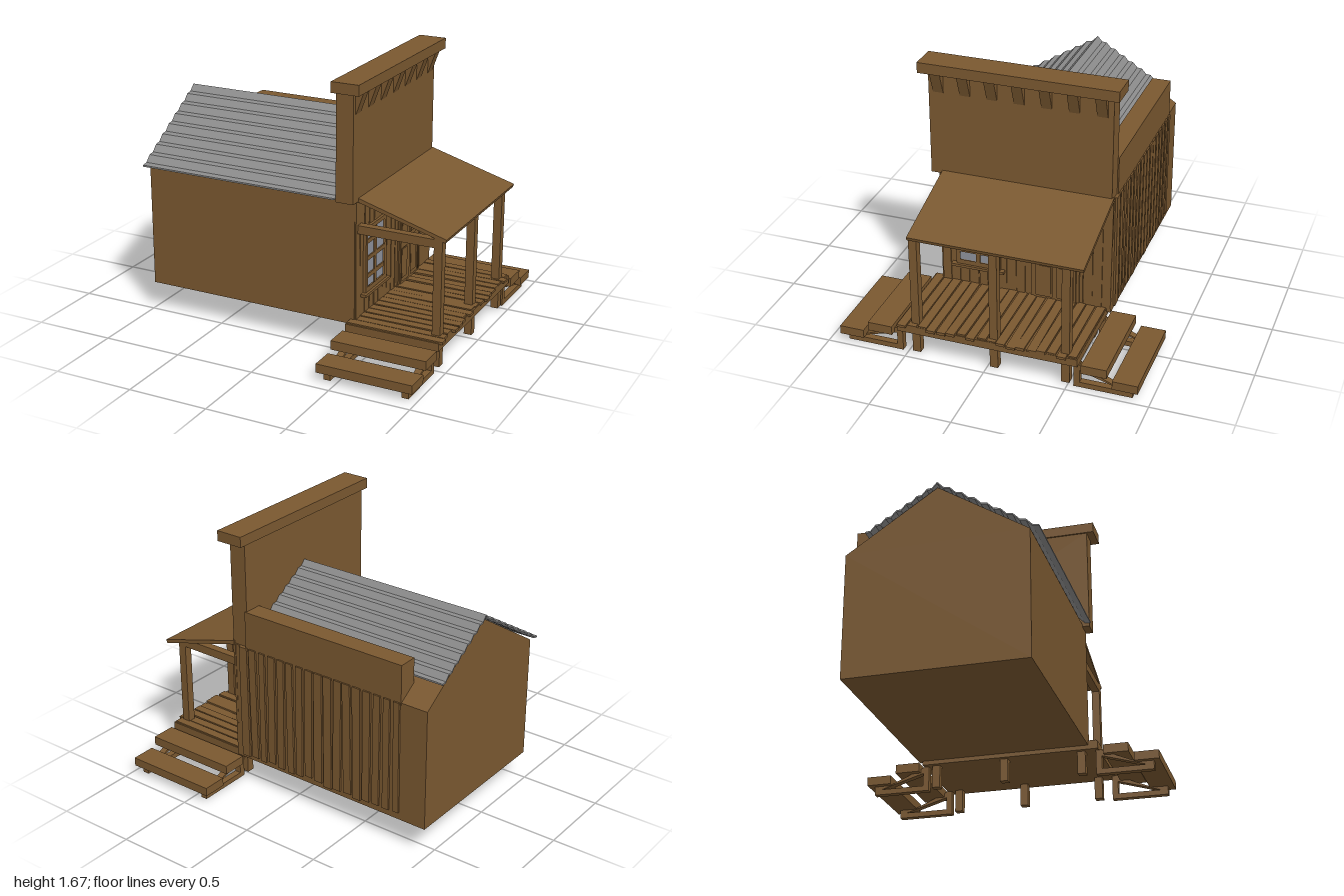
import * as THREE from 'three';

const wood = new THREE.MeshStandardMaterial({ color: 0x7a5830, flatShading: true });
const tin = new THREE.MeshStandardMaterial({ color: 0x8c8c8c, flatShading: true });
const pane = new THREE.MeshStandardMaterial({ color: 0x8e929c, flatShading: true });
const iron = new THREE.MeshStandardMaterial({ color: 0x5a4a38 });

let seed = 7;
const rnd = (a, b) => {
  seed = (seed * 16807) % 2147483647;
  return a + (b - a) * seed / 2147483647;
};

export function createModel() {
  const root = new THREE.Group();
  root.name = 'woodenStore';

  const part = (name, geo, mat = wood, parent = root) => {
    const m = new THREE.Mesh(geo, mat);
    m.name = name;
    parent.add(m);
    return m;
  };
  const group = (name) => {
    const g = new THREE.Group();
    g.name = name;
    root.add(g);
    return g;
  };
  // Box given by its limits on each axis
  const box = (name, x0, x1, y0, y1, z0, z1, parent = root, mat = wood) => {
    const m = part(name, new THREE.BoxGeometry(x1 - x0, y1 - y0, z1 - z0), mat, parent);
    m.position.set((x0 + x1) / 2, (y0 + y1) / 2, (z0 + z1) / 2);
    return m;
  };
  const outline = (pts) => pts.map(([z, y]) => new THREE.Vector2(-z, y));
  // Outline in (z, y), with optional holes, extruded from x0 to x1
  const prismX = (name, pts, x0, x1, mat = wood, parent = root, holes = []) => {
    const s = new THREE.Shape(outline(pts));
    holes.forEach((h) => s.holes.push(new THREE.Path(outline(h))));
    const g = new THREE.ExtrudeGeometry(s, { depth: x1 - x0, bevelEnabled: false });
    g.rotateY(Math.PI / 2).translate(x0, 0, 0);
    return part(name, g, mat, parent);
  };
  // Outline in (x, y) extruded from z0 to z1
  const prismZ = (name, pts, z0, z1, parent = root) => {
    const s = new THREE.Shape(pts.map((p) => new THREE.Vector2(...p)));
    const g = new THREE.ExtrudeGeometry(s, { depth: z1 - z0, bevelEnabled: false });
    return part(name, g.translate(0, 0, z0), wood, parent);
  };
  const rect = (z0, z1, y0, y1) => [[z0, y0], [z1, y0], [z1, y1], [z0, y1]];

  // Main building with a gabled rear wall
  const ridgeZ = -0.045;
  prismX('building', [[-0.59, 0.18], [0.495, 0.18], [0.495, 0.96], [ridgeZ, 1.305], [-0.59, 0.945]], -0.985, 0.41);

  // Corrugated metal roof: a zigzag band over both slopes
  const top = [];
  const slope = (zEnd, n, from, dir) => {
    for (let i = from; i <= n; i++) {
      const z = ridgeZ + (zEnd - ridgeZ) * i / n;
      top.push([z, 1.328 - 0.615 * Math.abs(z - ridgeZ) + (i % 2 ? -0.009 : 0.007), dir * i]);
    }
  };
  slope(-0.47, 14, 0, -1);
  slope(0.55, 16, 1, 1);
  top.sort((a, b) => a[2] - b[2]);
  const upper = top.map(([z, y]) => [z, y]);
  const lower = upper.map(([z, y]) => [z, y - 0.01]).reverse();
  prismX('corrugatedRoof', [...upper, ...lower], -1, 0.305, tin);

  // Side parapet, false front and its cap
  box('sideParapet', -0.81, 0.32, 0.93, 1.18, -0.593, -0.472);
  box('falseFront', 0.31, 0.42, 0.945, 1.61, -0.585, 0.54);
  box('falseFrontCap', 0.3, 0.475, 1.605, 1.67, -0.63, 0.585);

  // Wedge brackets below the cap
  const brackets = group('capBrackets');
  for (let i = 0; i < 7; i++) {
    const z = 0.48 - i * 0.1665;
    prismZ('bracket', [[0.415, 1.475], [0.422, 1.475], [0.47, 1.608], [0.415, 1.608]], z - 0.032, z + 0.032, brackets);
  }

  // Uneven siding boards on the side and front walls
  const siding = group('siding');
  for (let i = 0; i < 17; i++) {
    const x = -0.785 + i * 0.07;
    const w = rnd(0.04, 0.06) / 2;
    const b = box('sideBoard', x - w, x + w, rnd(0.2, 0.23), 0.945, -0.603, -0.585, siding);
    b.rotation.z = rnd(-0.015, 0.015);
  }
  for (let i = 0; i < 18; i++) {
    const z = 0.462 - i * 0.0605;
    const w = rnd(0.05, 0.058) / 2;
    const b = box('frontBoard', 0.4, rnd(0.414, 0.419), 0.205, 0.94, z - w, z + w, siding);
    b.rotation.x = rnd(-0.009, 0.009);
  }

  // Window: frame, glass, glazing bars and sill
  const win = group('window');
  prismX('windowFrame', rect(0.107, 0.39, 0.345, 0.755), 0.41, 0.434, wood, win, [rect(0.135, 0.365, 0.375, 0.73)]);
  box('windowGlass', 0.41, 0.422, 0.37, 0.735, 0.13, 0.37, win, pane);
  box('uprightBar', 0.415, 0.43, 0.37, 0.735, 0.237, 0.264, win);
  for (const y of [0.44, 0.552, 0.66]) box('crossBar', 0.415, 0.43, y - 0.013, y + 0.013, 0.13, 0.37, win);
  box('windowSill', 0.41, 0.45, 0.328, 0.345, 0.08, 0.42, win);

  // Panelled door with knob and casing
  const door = group('door');
  const panels = [];
  for (const [z0, z1] of [[-0.23, -0.125], [-0.362, -0.257]]) {
    for (const [y0, y1] of [[0.225, 0.445], [0.495, 0.715]]) {
      panels.push(rect(z0, z1, y0, y1));
      box('doorPanel', 0.41, 0.427, y0 + 0.014, y1 - 0.014, z0 + 0.014, z1 - 0.014, door);
    }
  }
  box('doorBack', 0.408, 0.421, 0.21, 0.73, -0.375, -0.11, door);
  prismX('doorFrame', rect(-0.375, -0.11, 0.21, 0.73), 0.41, 0.432, wood, door, panels);
  box('doorCasing', 0.408, 0.425, 0.73, 0.75, -0.395, -0.09, door);
  for (const z of [-0.395, -0.108]) box('doorCasing', 0.408, 0.425, 0.21, 0.73, z, z + 0.018, door);
  const stem = part('knobStem', new THREE.CylinderGeometry(0.005, 0.005, 0.03, 10), iron, door);
  stem.rotation.z = Math.PI / 2;
  stem.position.set(0.44, 0.467, -0.343);
  part('knob', new THREE.SphereGeometry(0.011, 12, 8), iron, door).position.set(0.452, 0.467, -0.343);

  // Porch deck with loose planks
  const porch = group('porch');
  box('deck', 0.38, 0.975, 0.154, 0.203, -0.565, 0.555, porch);
  for (let i = 0; i < 18; i++) {
    const z = -0.532 + i * 0.0618;
    const p = box('deckPlank', 0.385, rnd(0.965, 0.998), 0.195, rnd(0.208, 0.214), z - 0.027, z + 0.027, porch);
    p.rotation.y = rnd(-0.012, 0.012);
  }

  // Legs, posts and roof beams in three rows
  for (const z of [0.445, -0.045, -0.485]) {
    for (const x of [0.432, 0.922]) box('deckLeg', x - 0.024, x + 0.024, 0.012, 0.16, z - 0.025, z + 0.025, porch);
    box('porchPost', 0.895, 0.947, 0.2, 0.812, z - 0.025, z + 0.025, porch);
    box('porchBeam', 0.41, 0.9, 0.745, 0.797, z - 0.025, z + 0.025, porch);
  }
  prismZ('porchRoof', [[0.41, 0.942], [0.965, 0.785], [0.972, 0.806], [0.41, 0.967]], -0.595, 0.47, porch);

  // Steps at both ends of the porch
  for (const s of [1, -1]) {
    const steps = group(s > 0 ? 'leftSteps' : 'rightSteps');
    box('upperTread', 0.38, 0.98, 0.118, 0.174, 0.588, 0.742, steps);
    box('lowerTread', 0.38, 0.98, 0.054, 0.108, 0.775, 0.928, steps);
    for (const x of [0.412, 0.9]) {
      box('stringerBase', x, x + 0.042, 0, 0.033, 0.535, 0.89, steps);
      box('stringerPost', x, x + 0.042, 0.01, 0.154, 0.535, 0.572, steps);
      prismX('stringer', [[0.57, 0.115], [0.89, 0.02], [0.89, 0.056], [0.78, 0.06], [0.64, 0.12], [0.57, 0.152]], x, x + 0.042, wood, steps);
    }
    // A half turn about the porch middle mirrors the symmetric flight
    if (s < 0) {
      steps.rotation.y = Math.PI;
      steps.position.x = 1.36;
    }
  }
  return root;
}
